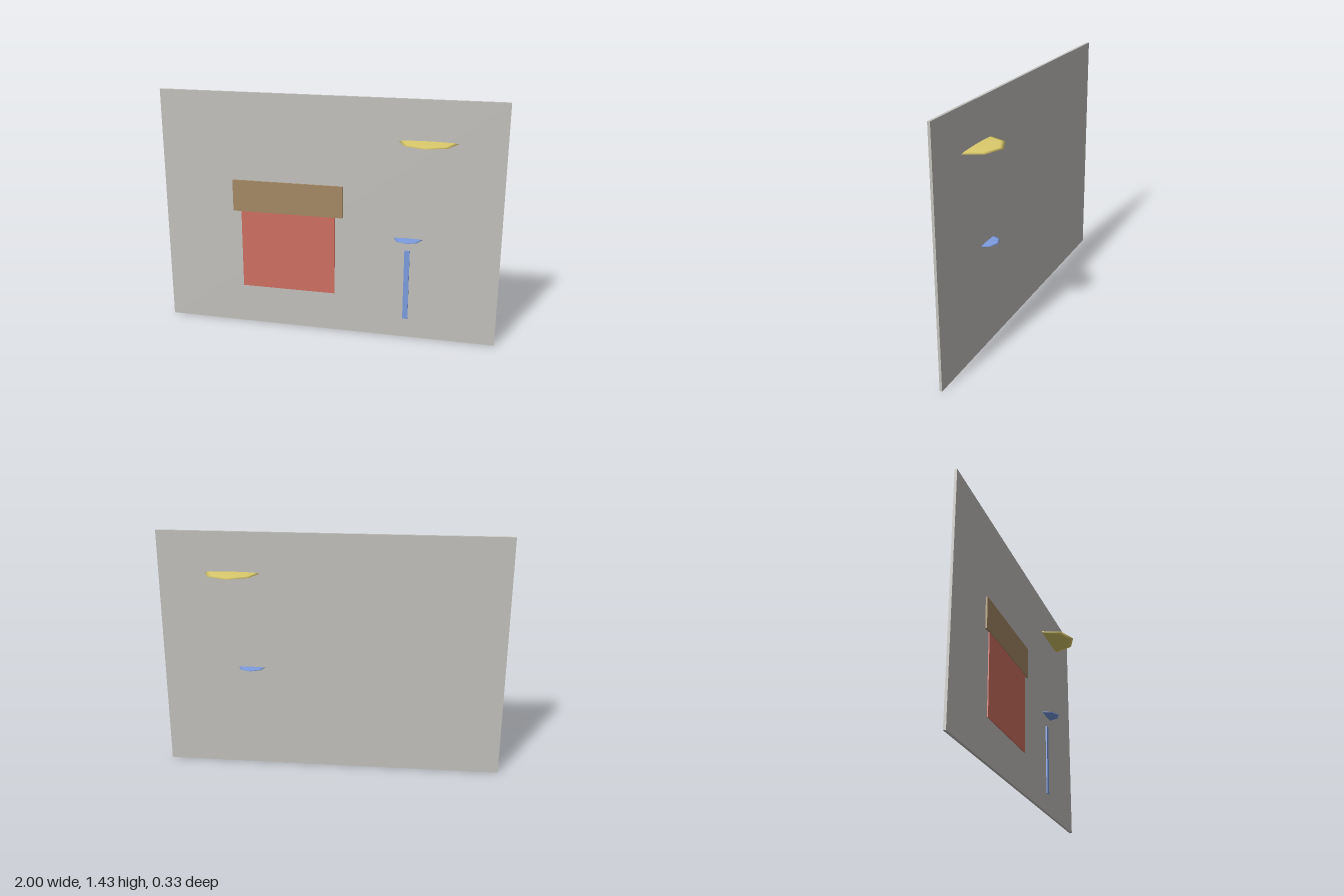
import * as THREE from 'three';

export function createModel() {
  const group = new THREE.Group();
  const mat = (name, color) => {
    const m = new THREE.MeshStandardMaterial({ color });
    m.name = name;
    return m;
  };
  const grey = mat('warm grey', 0xc4c2bd);
  const red = mat('brick red', 0xd07062);
  const brown = mat('roof brown', 0xa48a64);
  const blue = mat('soft blue', 0x7d9ce0);
  const yellow = mat('sun yellow', 0xdccb6c);

  // Box given by its x, y and z limits
  const box = (name, material, x0, x1, y0, y1, z0, z1) => {
    const mesh = new THREE.Mesh(new THREE.BoxGeometry(x1 - x0, y1 - y0, z1 - z0), material);
    mesh.position.set((x0 + x1) / 2, (y0 + y1) / 2, (z0 + z1) / 2);
    mesh.name = name;
    group.add(mesh);
  };

  // Low-poly ball squashed to a flat disc, halfway through the panel
  const disc = (name, material, x, y, radius, halfHeight) => {
    const geometry = new THREE.SphereGeometry(radius, 8, 6);
    geometry.scale(1, halfHeight / radius, 1);
    const mesh = new THREE.Mesh(geometry, material);
    mesh.position.set(x, y, 0);
    mesh.name = name;
    group.add(mesh);
  };

  // Backing panel
  box('panel', grey, -1, 1, 0, 1.43, -0.015, 0);

  // House relief
  box('houseWall', red, -0.525, 0.045, 0.24, 0.72, 0, 0.006);
  box('houseRoof', brown, -0.573, 0.092, 0.72, 0.91, 0, 0.01);

  // Figure: post body and flat head
  box('figureBody', blue, 0.457, 0.488, 0.12, 0.55, 0, 0.008);
  disc('figureHead', blue, 0.475, 0.622, 0.083, 0.004);

  // Sun
  disc('sun', yellow, 0.57, 1.193, 0.165, 0.0075);

  return group;
}
